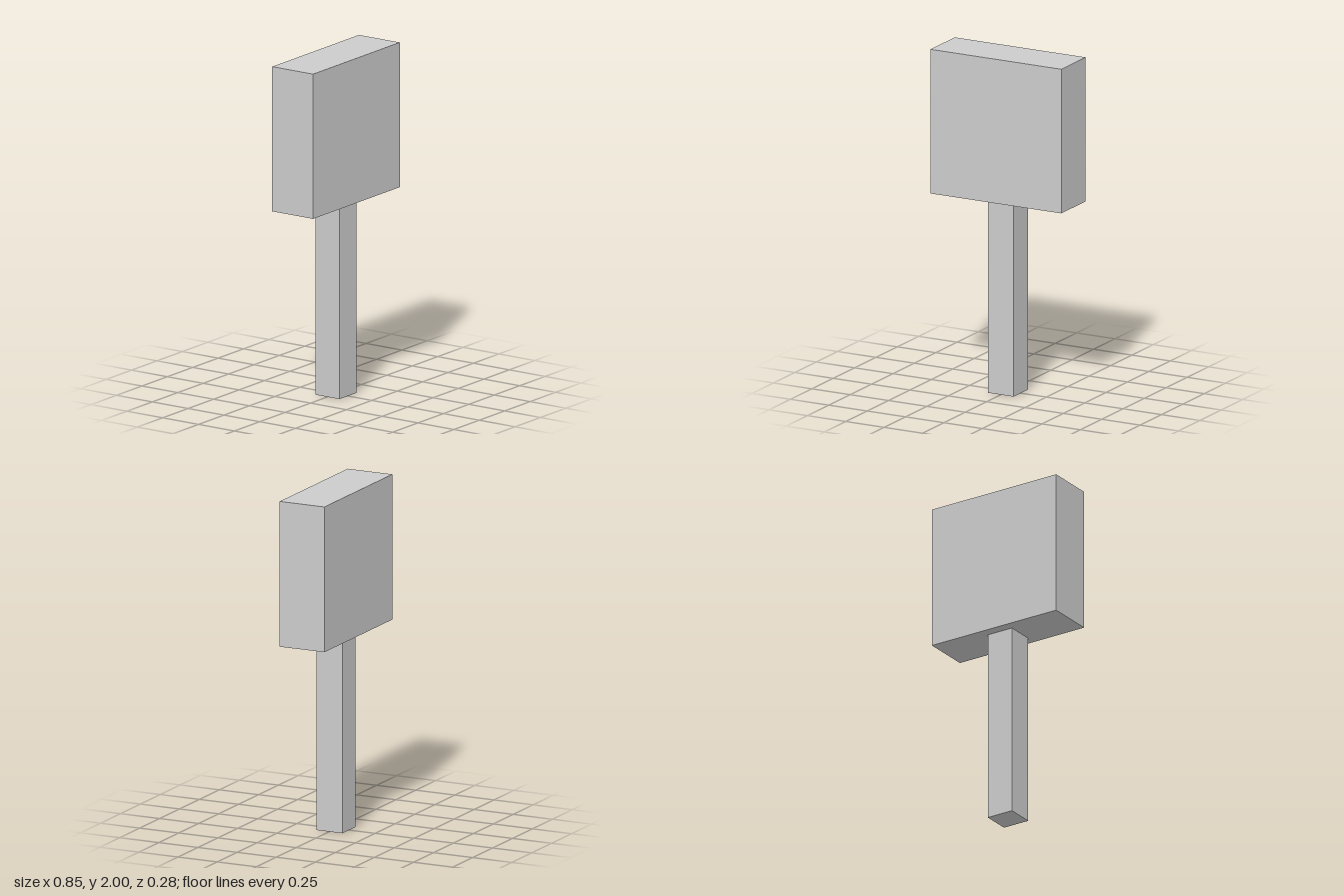
import * as THREE from 'three';

export function createModel() {
  const group = new THREE.Group();
  const material = new THREE.MeshStandardMaterial({ color: 0xcccccc, flatShading: true });

  // Box standing on a given height, centred on x and z
  const addBlock = (name, width, height, depth, bottom) => {
    const mesh = new THREE.Mesh(new THREE.BoxGeometry(width, height, depth), material);
    mesh.name = name;
    mesh.position.y = bottom + height / 2;
    group.add(mesh);
  };

  const headBottom = 1.147;
  addBlock('handle', 0.166, headBottom, 0.166, 0);
  addBlock('head', 0.853, 2 - headBottom, 0.285, headBottom);

  return group;
}
